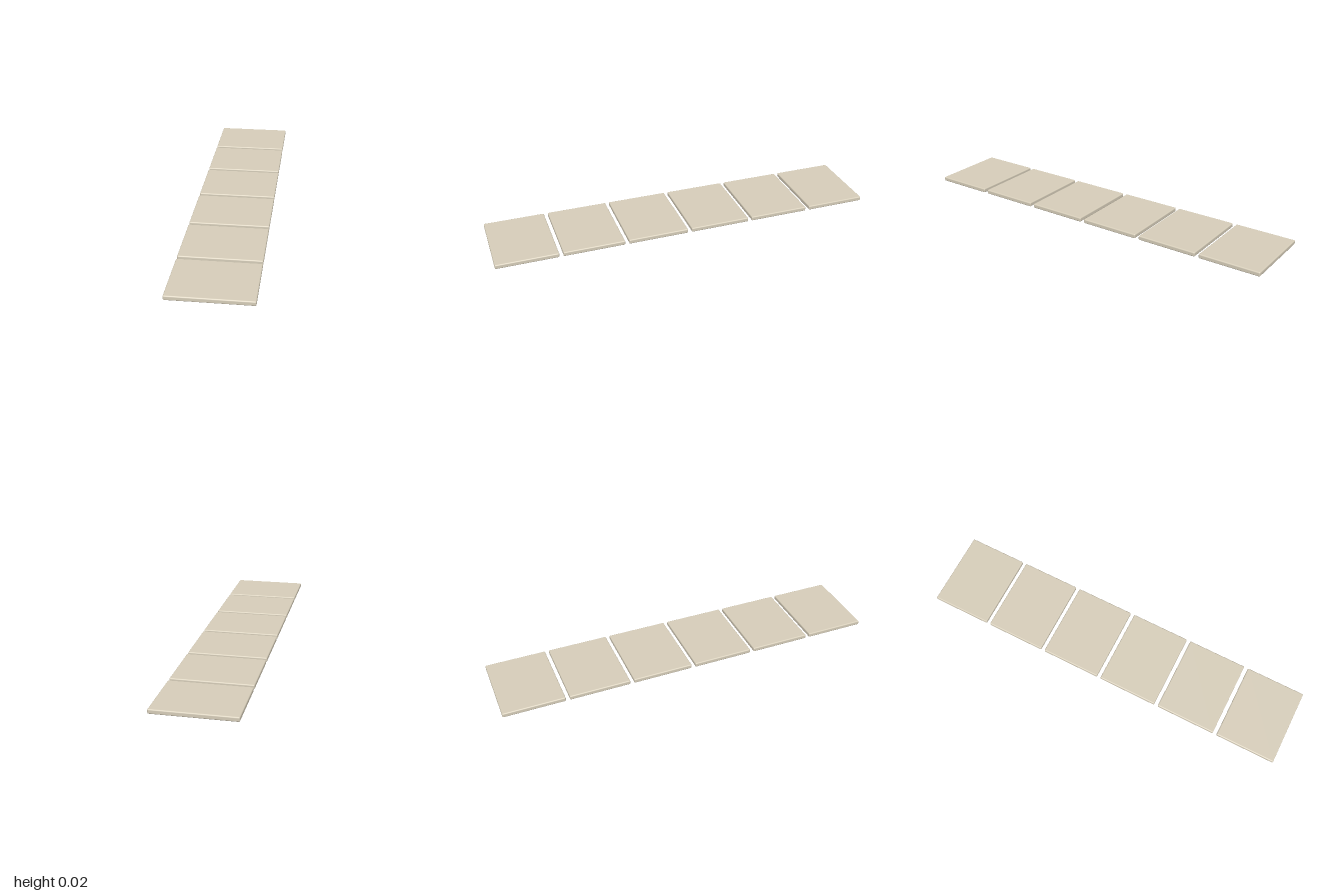
import * as THREE from 'three';
import { RoundedBoxGeometry } from 'three/addons/geometries/RoundedBoxGeometry.js';

const COUNT = 6;
const WIDTH = 0.403;
const HEIGHT = 0.023;
const LENGTH = 0.316;
const PITCH = (2 - LENGTH) / (COUNT - 1);

export function createModel() {
  const group = new THREE.Group();
  group.name = 'steppingSlabPath';

  const stone = new THREE.MeshStandardMaterial({ color: 0xd6cdb9 });
  // One softly rounded slab, shared by the whole row
  const slabGeometry = new RoundedBoxGeometry(WIDTH, HEIGHT, LENGTH, 3, 0.006);

  // Row of evenly spaced slabs running front to back
  for (let i = 0; i < COUNT; i++) {
    const slab = new THREE.Mesh(slabGeometry, stone);
    slab.name = `slab${i + 1}`;
    slab.position.set(0, HEIGHT / 2, (i - (COUNT - 1) / 2) * PITCH);
    group.add(slab);
  }
  return group;
}
